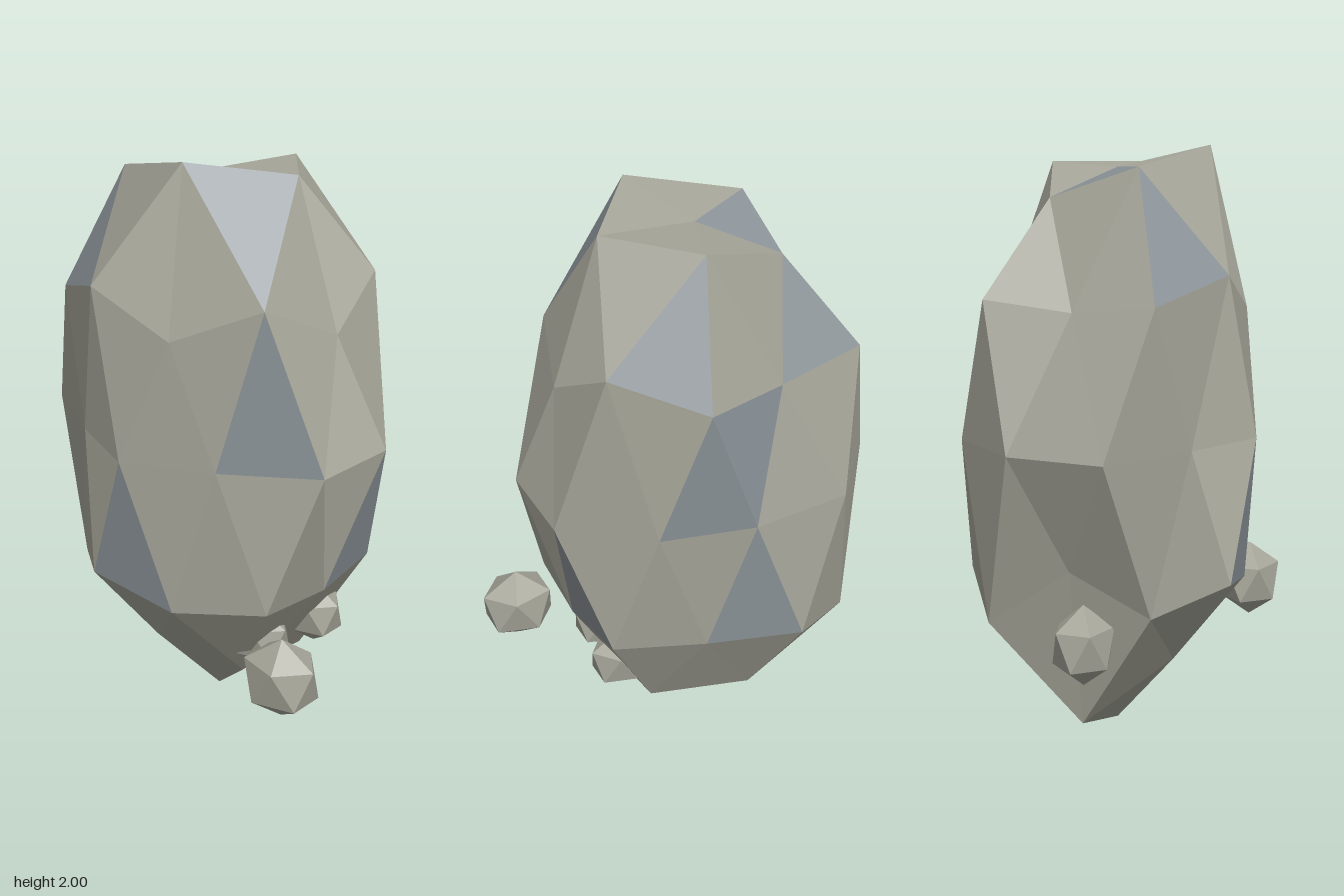
import * as THREE from 'three';
import { ConvexGeometry } from 'three/addons/geometries/ConvexGeometry.js';

// Ring of unit directions: height on the sphere, start angle in degrees, count
function ring(y, start, count = 5) {
  const r = Math.sqrt(1 - y * y);
  return Array.from({ length: count }, (_, i) => {
    const a = THREE.MathUtils.degToRad(start + (i * 360) / count);
    return new THREE.Vector3(r * Math.cos(a), y, r * Math.sin(a));
  });
}

// Faceted stone: hull of unit directions, each pushed in or out by its factor.
// Facets facing one of the patch directions take that patch's material.
function stoneGeometry(dirs, factors, [sx, sy, sz], patches = []) {
  const geometry = new ConvexGeometry(dirs);
  const pos = geometry.attributes.position;
  const v = new THREE.Vector3();
  for (let i = 0; i < pos.count; i += 3) {
    const facing = new THREE.Vector3();
    for (let j = i; j < i + 3; j++) {
      v.fromBufferAttribute(pos, j);
      facing.add(v);
      const f = factors[dirs.findIndex((d) => d.distanceTo(v) < 1e-3)];
      pos.setXYZ(j, v.x * f * sx, v.y * f * sy, v.z * f * sz);
    }
    facing.normalize();
    const patch = patches.findIndex((p) => p.some(([y, a]) => ring(y, a, 1)[0].dot(facing) > 0.99));
    geometry.addGroup(i, 3, patch + 1);
  }
  geometry.computeVertexNormals();
  return geometry;
}

export function createModel() {
  const group = new THREE.Group();
  // Olive stone, blue-grey facets, pale facets
  const materials = [0xa5a599, 0x8b9398, 0xb4b4a7].map(
    (color) => new THREE.MeshStandardMaterial({ color, flatShading: true })
  );

  const add = (name, geometry, position) => {
    const mesh = new THREE.Mesh(geometry, materials);
    mesh.name = name;
    mesh.position.set(...position);
    group.add(mesh);
  };

  // Boulder: once-subdivided icosahedron, rings from top to bottom
  const layers = [
    [ring(1, 0, 1), [0.85]],
    [ring(0.8507, 0), [1.02, 1.08, 1.0, 0.89, 1.02]],
    [ring(0.5257, 36), [0.98, 1.0, 0.8, 0.81, 1.03]],
    [ring(0.4472, 0), [0.9, 0.9, 1.0, 1.02, 0.98]],
    [ring(0, 18, 10), [1.0, 0.82, 0.915, 0.82, 1.04, 0.98, 0.97, 0.84, 0.87, 1.0]],
    [ring(-0.4472, 36), [1.03, 1.0, 0.83, 1.04, 1.0]],
    [ring(-0.5257, 0), [0.9, 0.96, 0.97, 1.07, 0.88]],
    [ring(-0.8507, 36), [0.93, 0.87, 1.06, 0.95, 0.95]],
    [ring(-1, 0, 1), [1.0]],
  ];
  // Tinted facets as height and angle in degrees
  const blueFacets = [
    [0.954, 180], [0.794, 36], [0.644, 130.7], [0.644, 229.3], [0.644, 301.3], [0.343, 270],
    [0.187, 36], [0.158, 288], [-0.343, 90], [-0.343, 270], [-0.343, 342],
  ];
  const paleFacets = [
    [0.644, 85.3], [0.644, 346.7], [0.187, 108], [0.158, 0], [-0.158, 108], [-0.187, 0],
  ];
  const dirs = layers.flatMap((l) => l[0]);
  const factors = layers.flatMap((l) => l[1]);
  const boulder = stoneGeometry(dirs, factors, [0.62, 1.04, 0.535], [blueFacets, paleFacets]);
  add('boulder', boulder, [-0.04, 1.04, -0.01]);

  // Pebbles: plain icosahedra around the foot of the boulder
  const pebbleDirs = [...ring(1, 0, 1), ...ring(0.4472, 0), ...ring(-0.4472, 36), ...ring(-1, 0, 1)];
  const even = pebbleDirs.map(() => 1);
  const pebbles = [
    ['pebbleFrontLeft', [0.52, 0.39, 0.32], [0.145, 0.14, 0.12]],
    ['pebbleLeft', [0.265, 0.37, 0.12], [0.12, 0.115, 0.1]],
    ['pebbleBackLeft', [0.31, 0.38, -0.12], [0.115, 0.115, 0.1]],
    ['pebbleRight', [-0.48, 0.41, 0.03], [0.13, 0.135, 0.11]],
  ];
  for (const [name, position, size] of pebbles) {
    add(name, stoneGeometry(pebbleDirs, even, size), position);
  }
  return group;
}
